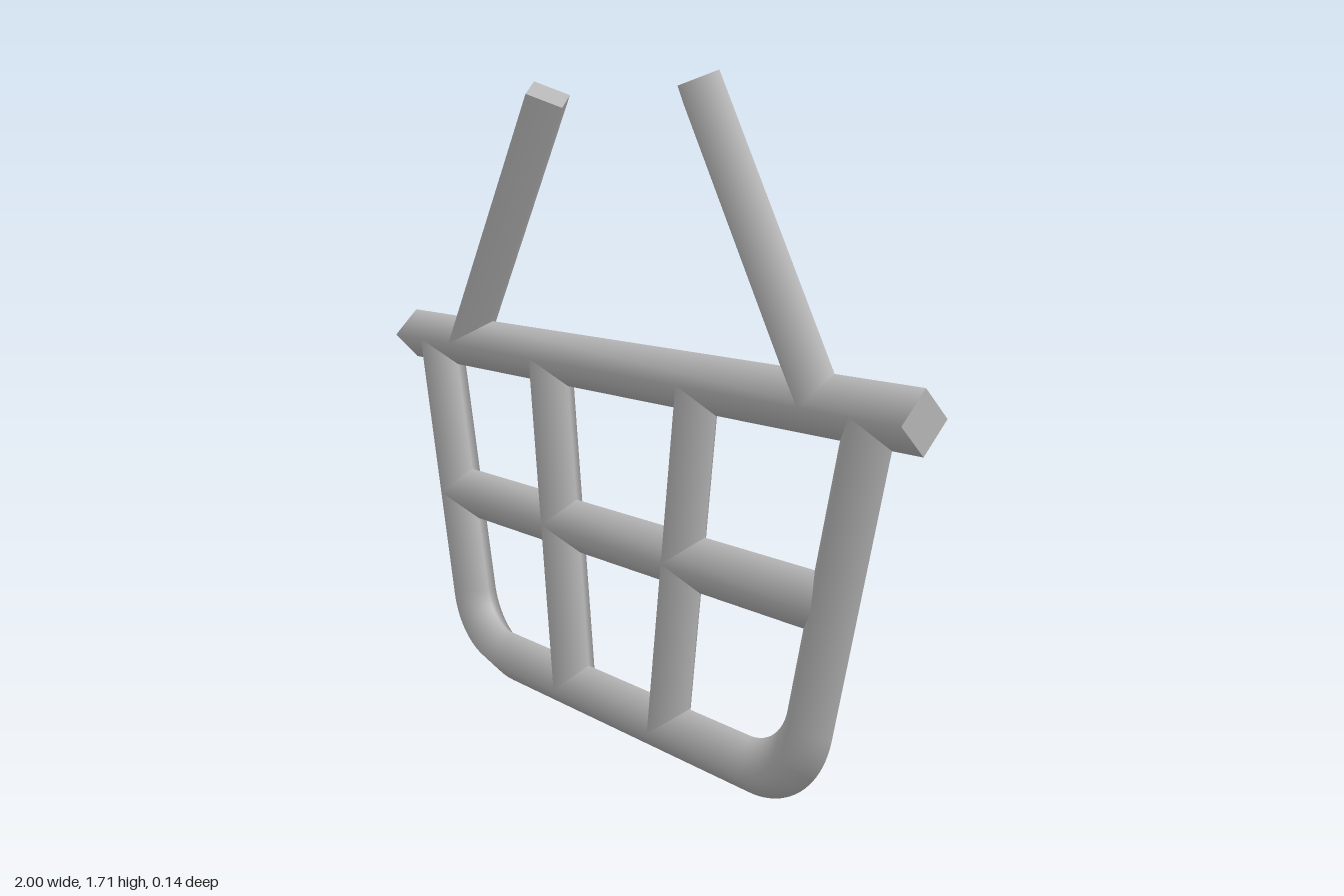
import * as THREE from 'three';

const R = 0.0722;      // bar radius: every bar has a diamond section
const RAIL_Y = 0.977;
const BASE_Y = R;
const MID_Y = 0.527;

export function createModel() {
  const group = new THREE.Group();
  const grey = new THREE.MeshStandardMaterial({ color: 0xb4b4b4 });
  grey.name = 'grey';

  // Straight four-sided bar between two points in the XY plane
  function bar(name, x1, y1, x2, y2) {
    const dx = x2 - x1, dy = y2 - y1;
    const mesh = new THREE.Mesh(new THREE.CylinderGeometry(R, R, Math.hypot(dx, dy), 4), grey);
    mesh.position.set((x1 + x2) / 2, (y1 + y2) / 2, 0);
    mesh.rotation.z = Math.atan2(-dx, dy);
    mesh.name = name;
    group.add(mesh);
  }

  // Horizontal bars
  bar('rim', -1, RAIL_Y, 1, RAIL_Y);
  bar('middleBar', -0.76, MID_Y, 0.76, MID_Y);
  bar('baseBar', -0.5, BASE_Y, 0.5, BASE_Y);

  // Rounded lower corner: bend from the base into the sloping side
  const bend = 0.2, angle = 1.357;
  const endX = 0.5 + bend * Math.sin(angle);
  const endY = BASE_Y + bend * (1 - Math.cos(angle));

  for (const s of [-1, 1]) {
    const side = s > 0 ? 'left' : 'right';
    const corner = new THREE.Mesh(new THREE.TorusGeometry(bend, R, 4, 20, angle), grey);
    corner.position.set(s * 0.5, BASE_Y + bend, 0);
    corner.rotation.z = s > 0 ? -Math.PI / 2 : -Math.PI / 2 - angle;
    corner.name = side + 'Corner';
    group.add(corner);

    bar(side + 'Side', s * endX, endY, s * 0.857, RAIL_Y);
    bar(side + 'Upright', s * 0.2, BASE_Y, s * 0.302, RAIL_Y);
    bar(side + 'Handle', s * 0.705, RAIL_Y, s * 0.303, 1.673);
  }
  return group;
}
